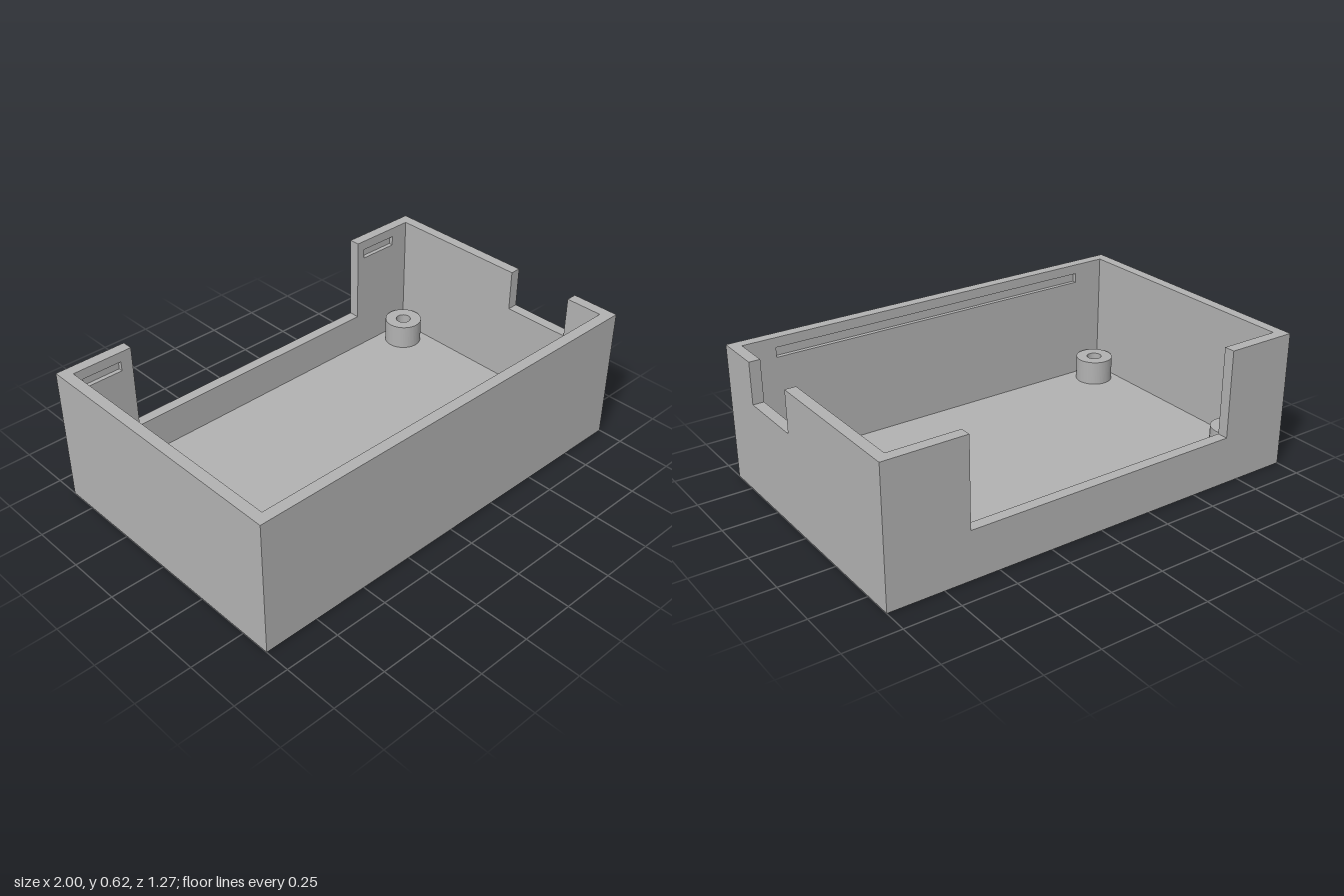
import * as THREE from 'three';

const W = 1, D = 0.634, H = 0.62;       // half width, half depth, height
const T = 0.05, FLOOR = 0.05;           // wall and floor thickness
const SLOT_DEPTH = 0.02, SLOT_LOW = 0.53, SLOT_HIGH = 0.575;

const outline = (points) => new THREE.Shape(points.map(([x, y]) => new THREE.Vector2(x, y)));

// Upright wall outline, optionally with a notch [from, to, bottom] cut into its top edge
function wallOutline(half, notch) {
  const points = [[-half, FLOOR], [half, FLOOR], [half, H]];
  if (notch) {
    const [from, to, bottom] = notch;
    points.push([to, H], [to, bottom], [from, bottom], [from, H]);
  }
  points.push([-half, H]);
  return outline(points);
}

function extrude(shape, depth, curveSegments = 32) {
  return new THREE.ExtrudeGeometry(shape, { depth, bevelEnabled: false, curveSegments });
}

export function createModel() {
  const model = new THREE.Group();
  model.name = 'openEnclosure';
  const grey = new THREE.MeshStandardMaterial({ color: 0xb2b2b2 });
  grey.name = 'grey plastic';

  const add = (name, geometry, parent = model) => {
    const mesh = new THREE.Mesh(geometry, grey);
    mesh.name = name;
    parent.add(mesh);
    return mesh;
  };

  // Floor plate
  add('floor', new THREE.BoxGeometry(2 * W, FLOOR, 2 * D)).position.y = FLOOR / 2;

  // Long walls: a solid outer skin and an inner skin pierced by the latch slots
  function longWall(name, side, notch, slots) {
    const wall = new THREE.Group();
    wall.name = name;
    model.add(wall);
    const skin = T - SLOT_DEPTH;
    const inner = wallOutline(W, notch);
    for (const [a, b] of slots) {
      inner.holes.push(outline([[a, SLOT_LOW], [a, SLOT_HIGH], [b, SLOT_HIGH], [b, SLOT_LOW]]));
    }
    add('outerSkin', extrude(wallOutline(W, notch), skin), wall)
      .position.z = side > 0 ? D - skin : -D;
    add('slottedSkin', extrude(inner, SLOT_DEPTH), wall)
      .position.z = side > 0 ? D - T : -D + skin;
  }
  longWall('frontWall', 1, null, [[-0.8, 0.8]]);
  longWall('backWall', -1, [-0.67, 0.63, 0.22], [[-0.91, -0.725], [0.67, 0.86]]);

  // Side walls: the outline's x axis is turned to run along -z
  function sideWall(name, x, notch) {
    const mesh = add(name, extrude(wallOutline(D - T, notch), T));
    mesh.rotation.y = Math.PI / 2;
    mesh.position.x = x;
  }
  sideWall('leftWall', W - T, [-0.41, -0.09, 0.43]);
  sideWall('rightWall', -W, null);

  // Hollow screw posts in the corners
  const ring = new THREE.Shape().absarc(0, 0, 0.087, 0, Math.PI * 2);
  ring.holes.push(new THREE.Path().absarc(0, 0, 0.035, 0, Math.PI * 2, true));
  const postGeometry = extrude(ring, 0.115);
  postGeometry.rotateX(-Math.PI / 2);
  for (const x of [-0.845, 0.845]) {
    for (const z of [-0.48, 0.477]) add('screwPost', postGeometry).position.set(x, FLOOR, z);
  }

  return model;
}
